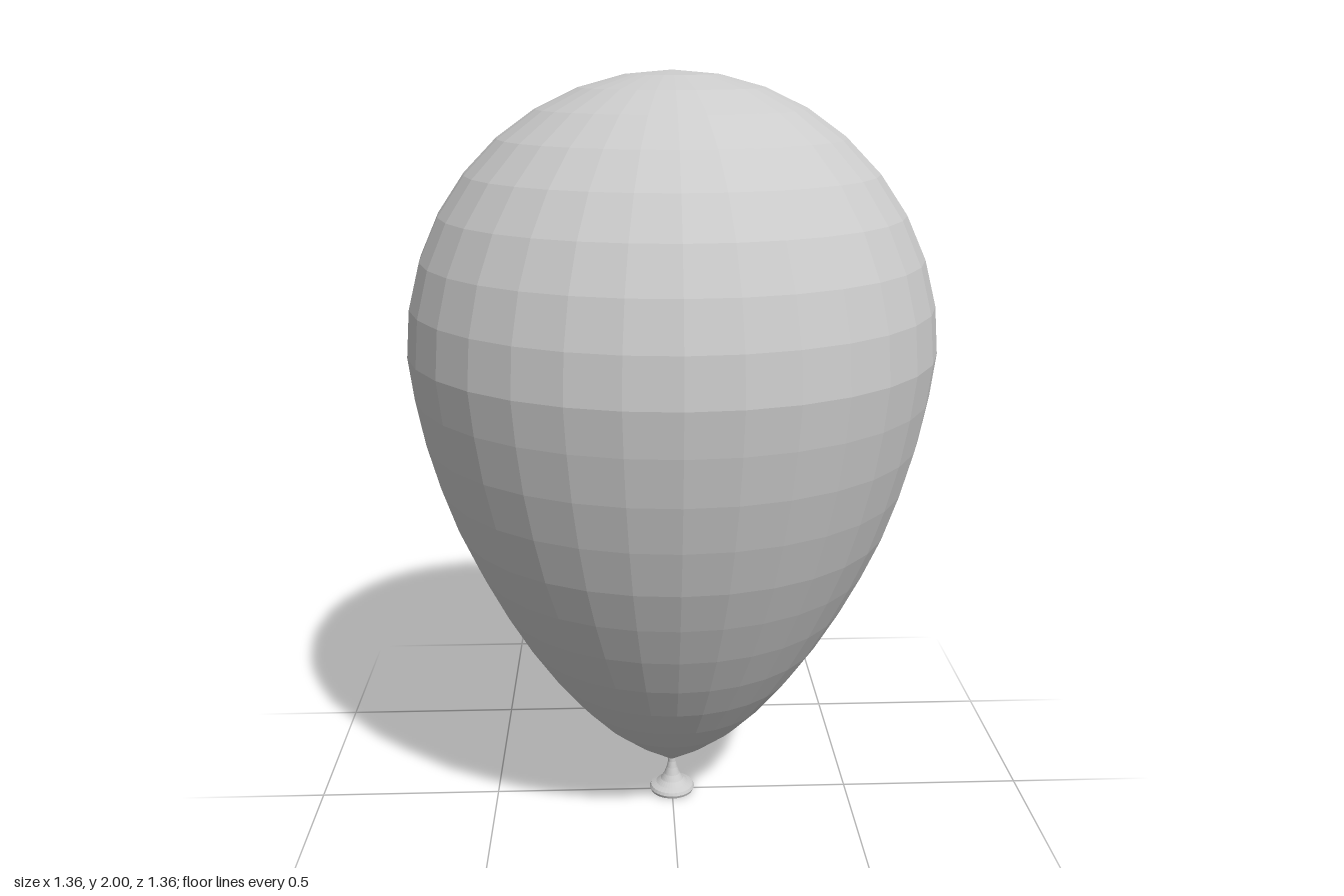
import * as THREE from 'three';

const SIDES = 32;

// Turned part from [radius, height] pairs, listed bottom to top on the outside
function lathe(name, profile, material) {
  const points = profile.map(([r, y]) => new THREE.Vector2(r, y));
  const mesh = new THREE.Mesh(new THREE.LatheGeometry(points, SIDES), material);
  mesh.name = name;
  return mesh;
}

export function createModel() {
  const group = new THREE.Group();
  group.name = 'balloon';
  const material = new THREE.MeshStandardMaterial({ color: 0xcccccc, flatShading: true });

  // Body: tapered lower half, then a domed crown in 10 degree rings
  const body = [
    [0.008, 0.1], [0.11, 0.17], [0.195, 0.24], [0.27, 0.32], [0.34, 0.41], [0.407, 0.51],
    [0.47, 0.62], [0.525, 0.73], [0.573, 0.84], [0.613, 0.96], [0.645, 1.08], [0.667, 1.2],
  ];
  const radius = 0.68, height = 0.69, middle = 1.31;
  for (let i = 0; i <= 9; i++) {
    const a = (i * Math.PI) / 18;
    body.push([i === 9 ? 0 : radius * Math.cos(a), middle + height * Math.sin(a)]);
  }
  group.add(lathe('body', body, material));

  // Neck: hollow inside, rolled lip, concave flare up to the knot
  const neck = [
    [0, 0.07], [0.012, 0.045], [0.025, 0.027], [0.042, 0.014], [0.048, 0.005],
    [0.055, 0], [0.061, 0.002], [0.064, 0.01], [0.06, 0.018], [0.045, 0.025],
    [0.032, 0.036], [0.022, 0.052], [0.015, 0.072], [0.011, 0.09], [0.01, 0.108],
  ];
  group.add(lathe('neck', neck, material));

  return group;
}
